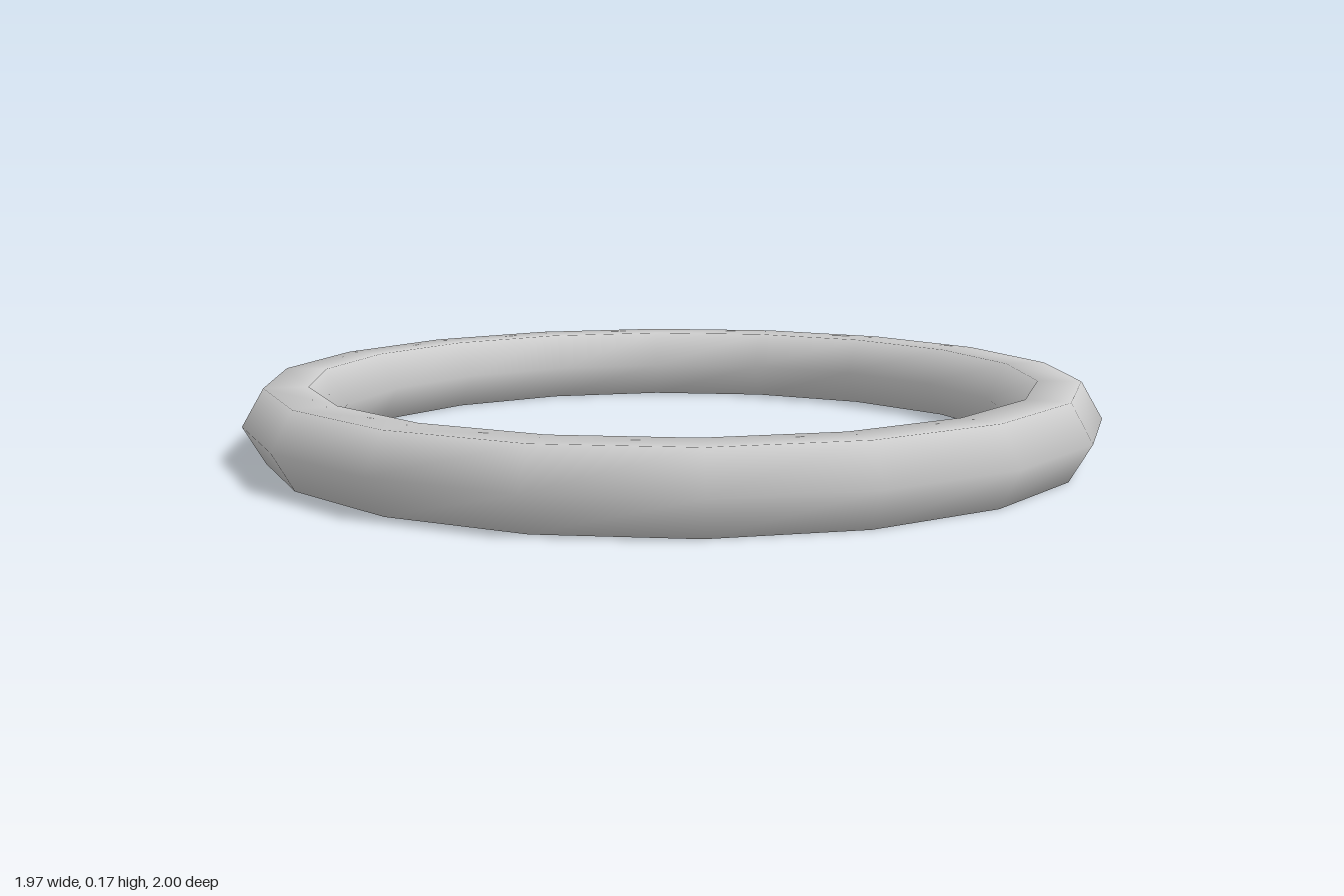
import * as THREE from 'three';

export function createModel() {
  const model = new THREE.Group();
  model.name = 'ringModel';

  const ringRadius = 0.9;
  const tubeRadius = 0.1;

  // Low-poly ring: hexagonal tube, 18 smooth-shaded segments, corners at front and back
  const geometry = new THREE.TorusGeometry(ringRadius, tubeRadius, 6, 18);
  geometry.rotateX(-Math.PI / 2);
  geometry.rotateY(Math.PI / 2);

  const ring = new THREE.Mesh(geometry, new THREE.MeshStandardMaterial({ color: 0xcccccc }));
  ring.name = 'ring';
  // The flat underside of the hexagonal tube rests on the ground
  ring.position.y = tubeRadius * Math.sin(Math.PI / 3);
  model.add(ring);

  return model;
}
